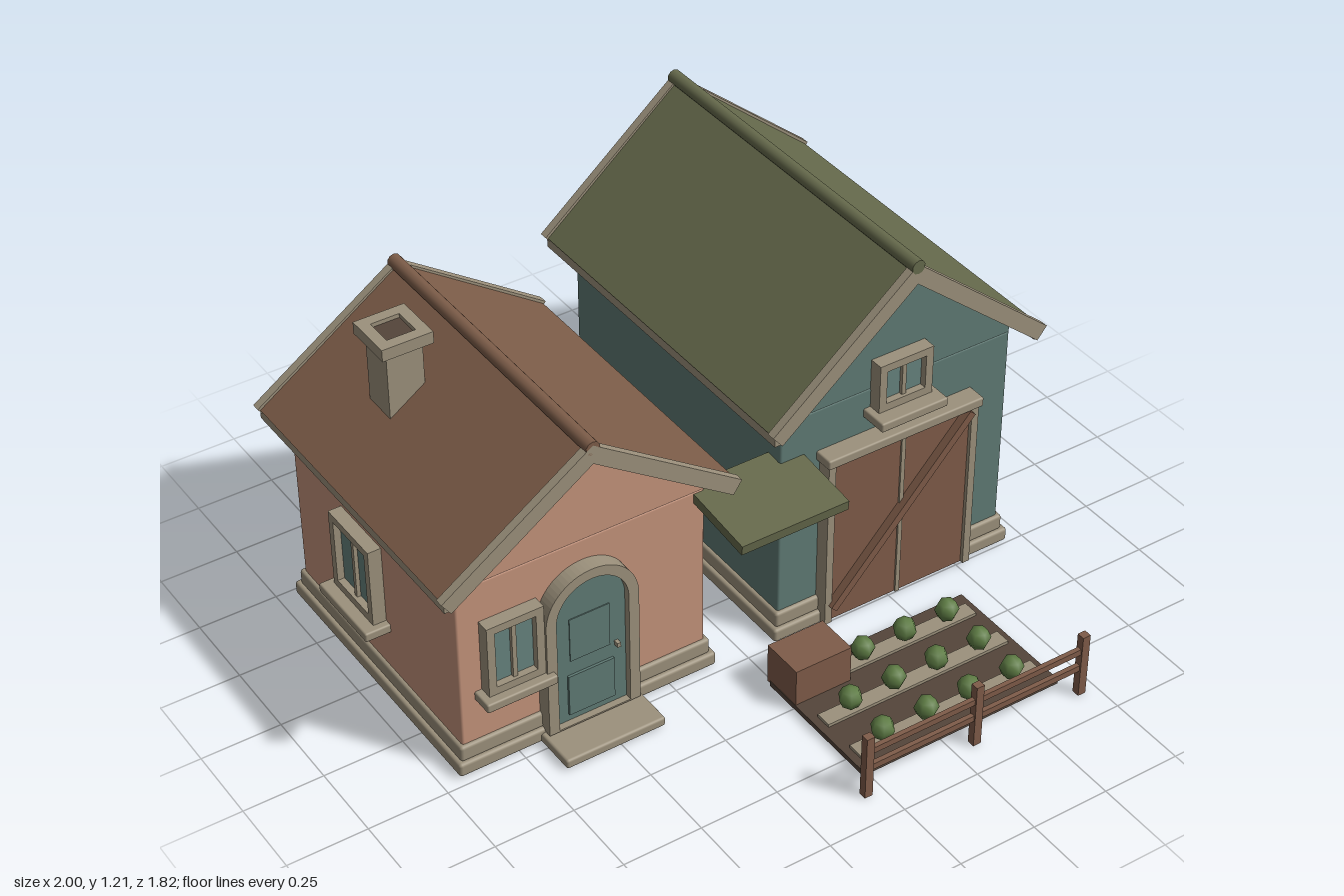
import * as THREE from 'three';
import { RoundedBoxGeometry } from 'three/addons/geometries/RoundedBoxGeometry.js';

const mat = (name, color) => {
  const m = new THREE.MeshStandardMaterial({ color });
  m.name = name;
  return m;
};

export function createModel() {
  const root = new THREE.Group();
  root.name = 'farmstead';
  const clay = mat('clay wall', 0xc4937b);
  const teal = mat('teal paint', 0x5f7a74);
  const stone = mat('pale stone', 0x9c917c);
  const brownRoof = mat('brown roof', 0x7d5d49);
  const greenRoof = mat('green roof', 0x666a4c);
  const wood = mat('wood', 0x7f5c49);
  const soil = mat('dark soil', 0x54453a);
  const leaf = mat('leaf', 0x5f7d45);
  const glass = mat('window glass', 0x67837e);

  const add = (parent, name, geo, material) => {
    const m = new THREE.Mesh(geo, material);
    m.name = name;
    parent.add(m);
    return m;
  };
  // Box given by its limits on each axis, optionally with soft edges
  const box = (parent, name, material, [x0, x1], [y0, y1], [z0, z1], r = 0) => {
    const s = [x1 - x0, y1 - y0, z1 - z0];
    const geo = r ? new RoundedBoxGeometry(...s, 2, r) : new THREE.BoxGeometry(...s);
    const m = add(parent, name, geo, material);
    m.position.set((x0 + x1) / 2, (y0 + y1) / 2, (z0 + z1) / 2);
    return m;
  };
  const prism = (parent, name, material, shape, z0, z1) => {
    const geo = new THREE.ExtrudeGeometry(shape, { depth: z1 - z0, bevelEnabled: false, curveSegments: 16 });
    const m = add(parent, name, geo, material);
    m.position.z = z0;
    return m;
  };
  const polygon = (pts) => new THREE.Shape(pts.map(([x, y]) => new THREE.Vector2(x, y)));

  // Two sloping slabs meeting at a ridge, as one cross-section
  const chevron = (ridge, half, eave, t) => {
    const a = Math.atan2(ridge - eave, half);
    const ix = half - t * Math.sin(a), iy = eave - t * Math.cos(a);
    return polygon([[0, ridge], [-half, eave], [-ix, iy], [0, ridge - t / Math.cos(a)], [ix, iy], [half, eave]]);
  };

  // Window on a wall facing local +z, with its lower centre at the origin
  const windowUnit = (parent, name, w, h, pos, turn = 0, sillDepth = 0.08) => {
    const g = new THREE.Group();
    g.name = name;
    const b = 0.025;
    const frame = polygon([[-w / 2, 0], [w / 2, 0], [w / 2, h], [-w / 2, h]]);
    frame.holes.push(polygon([[-w / 2 + b, b], [-w / 2 + b, h - b], [w / 2 - b, h - b], [w / 2 - b, b]]));
    prism(g, 'windowFrame', stone, frame, -0.005, 0.042);
    box(g, 'windowPane', glass, [-w / 2 + b, w / 2 - b], [b, h - b], [0.012, 0.02]);
    box(g, 'windowBar', stone, [-0.007, 0.007], [b, h - b], [0.015, 0.032]);
    box(g, 'windowSill', stone, [-w / 2 - 0.023, w / 2 + 0.023], [-0.03, 0], [-0.005, sillDepth], 0.006);
    g.position.set(...pos);
    g.rotation.y = turn;
    parent.add(g);
  };

  // Shared shell: plinth, walls, gables, roof, trim and ridge
  const building = (name, cx, o) => {
    const g = new THREE.Group();
    g.name = name;
    g.position.x = cx;
    root.add(g);
    const { back, front, wallTop, ridge, eave, wall, roof } = o;
    box(g, 'lowerPlinth', stone, [-0.425, 0.425], [0.005, 0.05], [back - 0.025, front + 0.025], 0.01);
    box(g, 'upperPlinth', stone, [-0.412, 0.412], [0.045, 0.098], [back - 0.012, front + 0.012], 0.01);
    box(g, 'walls', wall, [-0.4, 0.4], [0.08, wallTop], [back, front], 0.008);
    const slope = (ridge - eave) / 0.468;
    const peak = ridge - 0.04 * Math.hypot(1, slope);
    prism(g, 'gables', wall, polygon([[-0.398, wallTop - 0.01], [0.398, wallTop - 0.01],
      [0.398, peak - slope * 0.398], [0, peak], [-0.398, peak - slope * 0.398]]), back + 0.002, front - 0.002);
    prism(g, 'roof', roof, chevron(ridge, 0.468, eave, 0.04), back - 0.055, front + 0.055);
    // Barge boards at both gable ends
    for (const [z0, z1] of [[back - 0.072, back - 0.045], [front + 0.045, front + 0.072]]) {
      prism(g, 'bargeBoard', stone, chevron(ridge + 0.008, 0.476, eave + 0.005, 0.05), z0, z1);
    }
    // Boards beneath the eaves
    for (const s of [-1, 1]) {
      const x = [s * 0.452 - 0.01, s * 0.452 + 0.01];
      box(g, 'eaveBoard', stone, x, [eave - 0.038, eave - 0.006], [back - 0.06, front + 0.06]);
    }
    const cap = add(g, 'ridgeCap', new THREE.CylinderGeometry(0.022, 0.022, front - back + 0.144, 10), roof);
    cap.rotation.x = Math.PI / 2;
    cap.position.set(0, ridge - 0.002, (back + front) / 2);
    return g;
  };

  // Cottage
  const cottage = building('cottage', -0.52,
    { back: -0.705, front: 0.2, wallTop: 0.645, ridge: 1.002, eave: 0.682, wall: clay, roof: brownRoof });
  const arch = (r, y0, y1) => {
    const s = new THREE.Shape();
    s.moveTo(-r, y0);
    s.lineTo(r, y0);
    s.lineTo(r, y1);
    s.absarc(0, y1, r, 0, Math.PI, false);
    s.lineTo(-r, y0);
    return s;
  };
  const surround = arch(0.15, 0.04, 0.425);
  surround.holes.push(arch(0.117, 0.045, 0.425));
  prism(cottage, 'doorSurround', stone, surround, 0.19, 0.25);
  prism(cottage, 'frontDoor', teal, arch(0.119, 0.042, 0.425), 0.19, 0.228);
  box(cottage, 'doorPanel', teal, [-0.075, 0.075], [0.07, 0.21], [0.225, 0.236]);
  box(cottage, 'doorPanel', teal, [-0.065, 0.065], [0.26, 0.41], [0.225, 0.231]);
  box(cottage, 'doorHandle', stone, [0.08, 0.092], [0.25, 0.265], [0.225, 0.245]);
  box(cottage, 'doorStep', stone, [-0.163, 0.163], [0.005, 0.036], [0.18, 0.36], 0.008);
  windowUnit(cottage, 'frontWindow', 0.18, 0.24, [-0.24, 0.27, 0.2], 0, 0.07);
  windowUnit(cottage, 'backWindow', 0.25, 0.26, [0, 0.262, -0.705], Math.PI);
  windowUnit(cottage, 'sideWindow', 0.225, 0.26, [-0.4, 0.262, -0.315], -Math.PI / 2);

  // Chimney with an open cap
  const chimney = new THREE.Group();
  chimney.name = 'chimney';
  chimney.position.set(-0.73, 0, -0.405);
  root.add(chimney);
  box(chimney, 'chimneyShaft', stone, [-0.057, 0.057], [0.75, 1.04], [-0.057, 0.057]);
  const rim = polygon([[-0.08, -0.08], [0.08, -0.08], [0.08, 0.08], [-0.08, 0.08]]);
  rim.holes.push(polygon([[-0.045, -0.045], [-0.045, 0.045], [0.045, 0.045], [0.045, -0.045]]));
  const capRing = prism(chimney, 'chimneyCap', stone, rim, 0, 0.038);
  capRing.rotation.x = -Math.PI / 2;
  capRing.position.set(0, 1.035, 0);
  box(chimney, 'flueOpening', soil, [-0.045, 0.045], [1.04, 1.06], [-0.045, 0.045]);

  // Barn
  const barn = building('barn', 0.52,
    { back: -0.84, front: 0.22, wallTop: 0.772, ridge: 1.188, eave: 0.797, wall: teal, roof: greenRoof });
  box(barn, 'barnDoor', wood, [-0.245, 0.245], [0.015, 0.6], [0.21, 0.256]);
  for (const s of [-1, 1]) {
    box(barn, 'doorPost', stone, [s * 0.252 - 0.012, s * 0.252 + 0.012], [0.015, 0.6], [0.21, 0.268]);
  }
  box(barn, 'doorLintel', stone, [-0.275, 0.27], [0.595, 0.627], [0.21, 0.282], 0.006);
  box(barn, 'doorSeam', stone, [-0.005, 0.009], [0.015, 0.595], [0.25, 0.262]);
  const brace = add(barn, 'doorBrace', new THREE.BoxGeometry(0.7, 0.026, 0.03), wood);
  brace.position.set(-0.005, 0.33, 0.268);
  brace.rotation.z = Math.atan2(0.51, 0.47);
  windowUnit(barn, 'loftWindow', 0.185, 0.16, [0, 0.708, 0.22], 0, 0.09);

  // Sloping canopy between the buildings
  const canopy = add(root, 'canopy', new THREE.BoxGeometry(0.357, 0.032, 0.275), greenRoof);
  canopy.position.set(0.023, 0.611, 0.298);
  canopy.rotation.x = 0.11;

  // Vegetable bed
  const garden = new THREE.Group();
  garden.name = 'garden';
  root.add(garden);
  box(garden, 'gardenBed', soil, [-0.02, 0.665], [0.005, 0.022], [0.387, 0.835]);
  for (const z of [0.46, 0.61, 0.762]) {
    box(garden, 'plantingRow', stone, [0.005, 0.642], [0.015, 0.032], [z - 0.026, z + 0.026]);
    [0.098, 0.25, 0.4, 0.552].forEach((x, i) => {
      const p = add(garden, 'cabbage', new THREE.SphereGeometry(0.037, 6, 4), leaf);
      p.position.set(x, 0.07, z);
      p.rotation.y = (i % 2) * Math.PI / 6;
    });
  }
  box(garden, 'crate', wood, [-0.018, 0.172], [0.012, 0.145], [0.37, 0.51]);

  // Fence
  const fence = new THREE.Group();
  fence.name = 'fence';
  root.add(fence);
  for (const x of [-0.052, 0.322, 0.697]) {
    box(fence, 'fencePost', wood, [x - 0.013, x + 0.013], [0, 0.215], [0.88, 0.905]);
  }
  for (const y of [0.1, 0.16]) {
    box(fence, 'fenceRail', wood, [-0.052, 0.697], [y - 0.01, y + 0.01], [0.885, 0.9]);
  }
  return root;
}
